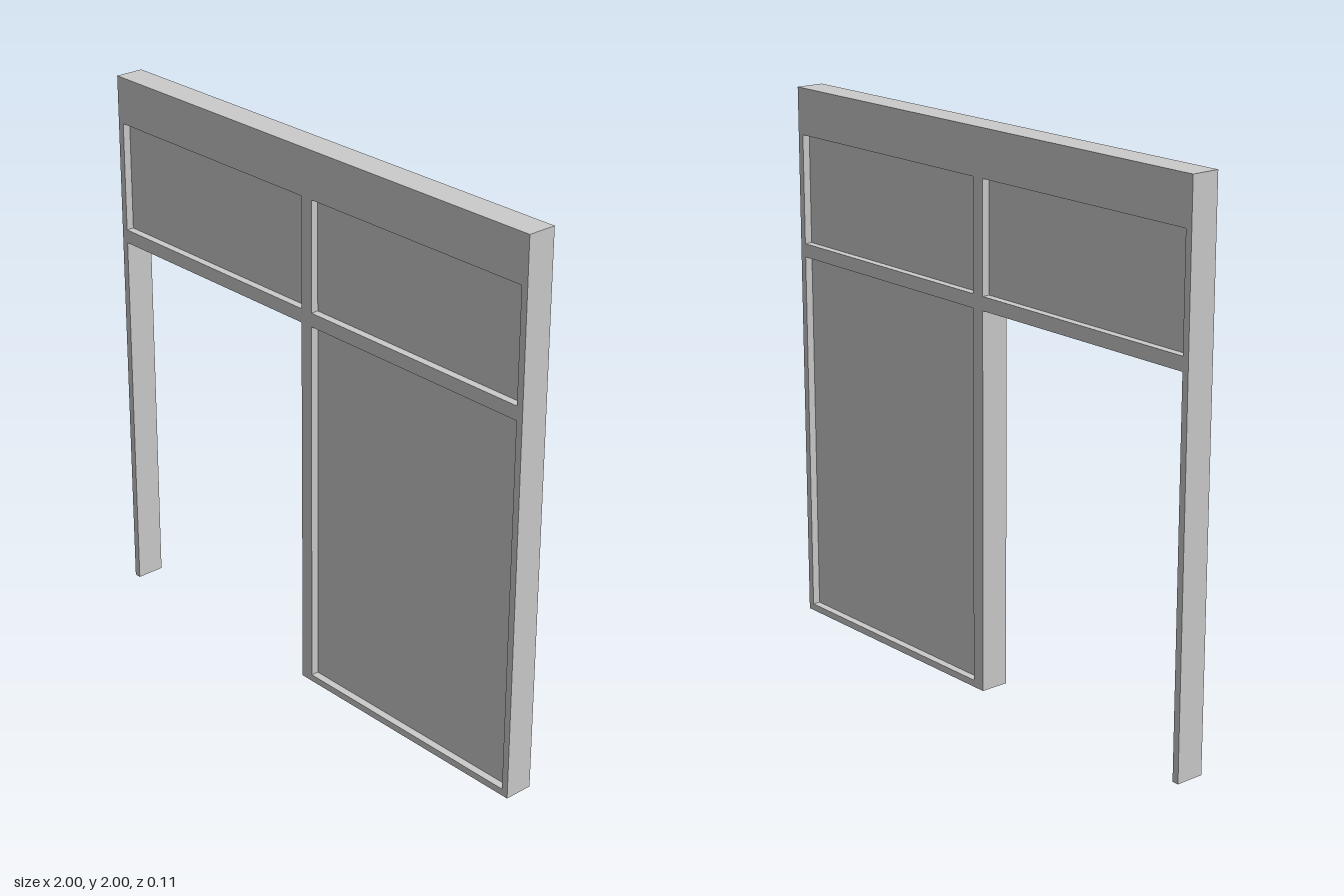
import * as THREE from 'three';

const DEPTH = 0.106;       // frame thickness
const PANEL_DEPTH = 0.05;  // infill thickness, recessed equally on both sides

// Infill openings of the frame: [name, x0, x1, y0, y1]
const OPENINGS = [
  ['transomPanelRight', -0.975, -0.025, 1.43, 1.83],
  ['transomPanelLeft', 0.025, 0.975, 1.43, 1.83],
  ['sidePanel', 0.025, 0.975, 0.025, 1.38],
];

const points = (list) => list.map(([x, y]) => new THREE.Vector2(x, y));

export function createModel() {
  const group = new THREE.Group();
  group.name = 'doorwayWall';
  const material = new THREE.MeshStandardMaterial({ color: 0xcccccc, flatShading: true });

  // Frame: outline goes around the open doorway, with holes for the infill
  const outline = new THREE.Shape(points([
    [-1, 0], [-0.975, 0], [-0.975, 1.38], [-0.025, 1.38],
    [-0.025, 0], [1, 0], [1, 2], [-1, 2],
  ]));
  for (const [, x0, x1, y0, y1] of OPENINGS) {
    outline.holes.push(new THREE.Path(points([[x0, y0], [x0, y1], [x1, y1], [x1, y0]])));
  }
  const frameGeometry = new THREE.ExtrudeGeometry(outline, { depth: DEPTH, bevelEnabled: false });
  frameGeometry.translate(0, 0, -DEPTH / 2);
  const frame = new THREE.Mesh(frameGeometry, material);
  frame.name = 'frame';
  group.add(frame);

  // Recessed infill panels
  for (const [name, x0, x1, y0, y1] of OPENINGS) {
    const panel = new THREE.Mesh(new THREE.BoxGeometry(x1 - x0, y1 - y0, PANEL_DEPTH), material);
    panel.name = name;
    panel.position.set((x0 + x1) / 2, (y0 + y1) / 2, 0);
    group.add(panel);
  }
  return group;
}
